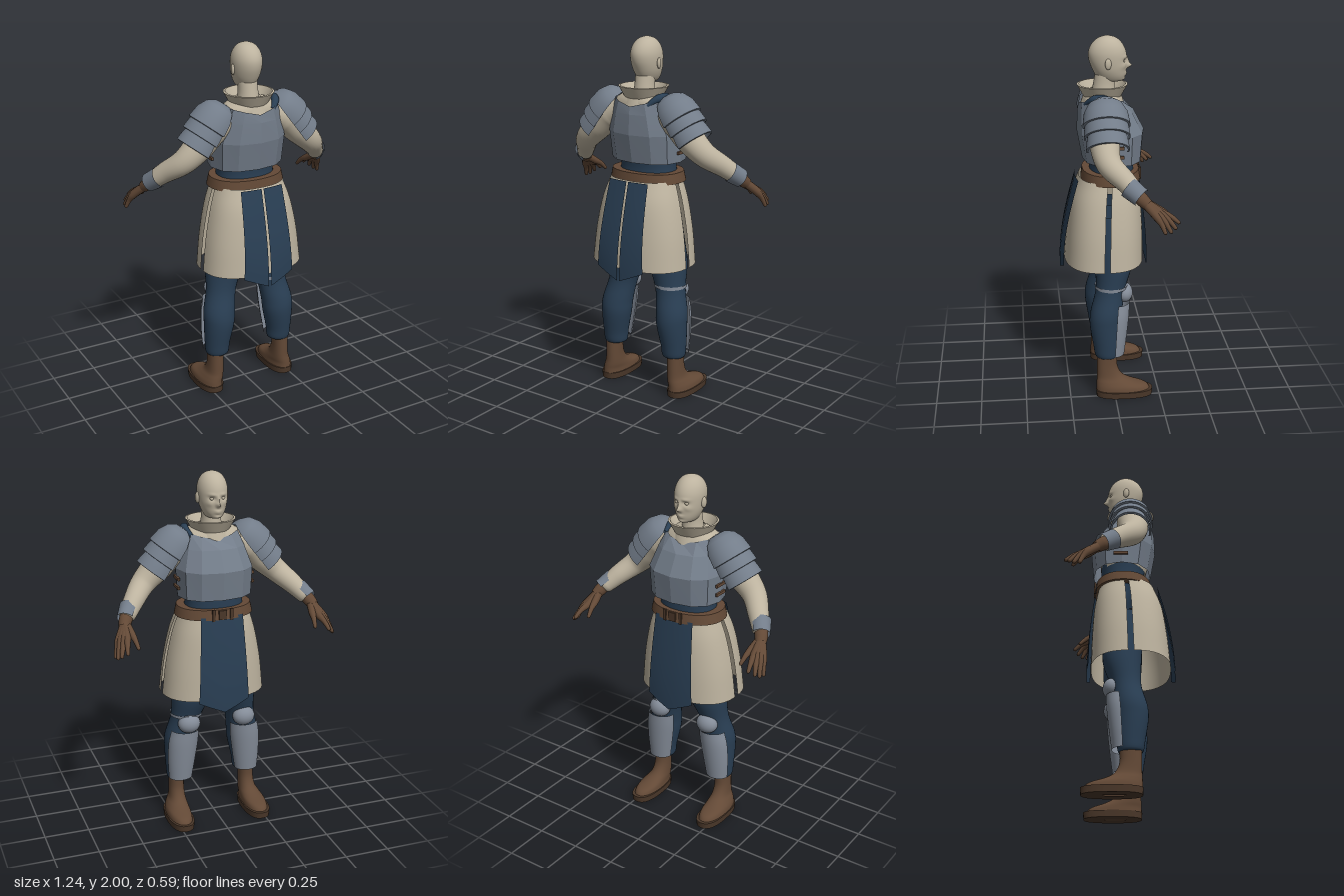
import * as THREE from 'three';
import { toCreasedNormals } from 'three/addons/utils/BufferGeometryUtils.js';
import { ParametricGeometry } from 'three/addons/geometries/ParametricGeometry.js';

const V = (x, y, z) => new THREE.Vector3(x, y, z);
const material = (name, color) => {
  const m = new THREE.MeshStandardMaterial({ color, side: THREE.DoubleSide });
  m.name = name;
  return m;
};

// Surface through rings listed top to bottom: [y, centreX, halfWidth, backZ, frontZ]
function loft(rings, { seg = 32, steps = 5, p = 1, from = 0, to = Math.PI * 2 } = {}) {
  const Kind = steps > 1 ? THREE.CubicInterpolant : THREE.LinearInterpolant;
  const last = rings.length - 1;
  const curve = new Kind(rings.map((_, i) => i), new Float32Array(rings.flat()), 5);
  const pow = (v) => Math.sign(v) * Math.abs(v) ** p;
  return new ParametricGeometry((u, v, target) => {
    const [y, cx, rx, zb, zf] = curve.evaluate(v * last);
    const a = from + (to - from) * u;
    target.set(cx + rx * pow(Math.cos(a)), y, (zb + zf) / 2 + ((zb - zf) / 2) * pow(Math.sin(a)));
  }, seg, last * steps);
}

// Tube of changing thickness through points [x, y, z, radius]
function limb(points, sides = 20) {
  const curve = new THREE.CatmullRomCurve3(points.map((q) => V(q[0], q[1], q[2])));
  const n = points.length * 6;
  const geo = new THREE.TubeGeometry(curve, n, 1, sides);
  const pos = geo.attributes.position;
  const v = V();
  for (let i = 0; i <= n; i++) {
    const t = curve.getUtoTmapping(i / n) * (points.length - 1);
    const k = Math.min(Math.floor(t), points.length - 2);
    const r = THREE.MathUtils.lerp(points[k][3], points[k + 1][3], t - k);
    const c = curve.getPointAt(i / n);
    for (let j = 0; j <= sides; j++) {
      const id = i * (sides + 1) + j;
      v.fromBufferAttribute(pos, id).sub(c).multiplyScalar(r).add(c);
      pos.setXYZ(id, v.x, v.y, v.z);
    }
  }
  return geo;
}

// Edges sharper than the crease angle stay hard
function crease(geo, angle) {
  geo.scale(100, 100, 100);
  const out = toCreasedNormals(geo, angle);
  out.deleteAttribute('uv');
  return out.scale(0.01, 0.01, 0.01);
}

function mirrored(geo) {
  const out = geo.clone().scale(-1, 1, 1);
  for (const { array } of Object.values(out.attributes)) {
    for (let i = 0; i < array.length; i += 9) {
      const second = array.slice(i + 3, i + 6);
      array.copyWithin(i + 3, i + 6, i + 9);
      array.set(second, i + 6);
    }
  }
  return out;
}

// Hanging cloth panel with a pointed lower hem
function panel(x0, x1, side, topZ, bottomZ) {
  const geo = new THREE.PlaneGeometry(1, 1, 10, 14);
  const pos = geo.attributes.position;
  for (let i = 0; i < pos.count; i++) {
    const v = 0.5 - pos.getY(i);
    const x = THREE.MathUtils.lerp(x0, x1, pos.getX(i) + 0.5) * (1 + 0.2 * v);
    const hem = 0.7 + 0.43 * Math.abs(x);
    const z = THREE.MathUtils.lerp(topZ, bottomZ, Math.sin(v * Math.PI / 2)) - 0.8 * x * x;
    pos.setXYZ(i, x, THREE.MathUtils.lerp(1.24, hem, v), side * z);
  }
  return geo;
}

export function createModel() {
  const model = new THREE.Group();
  model.name = 'armouredFigure';
  const cream = material('cream', 0xbdb39f);
  const blue = material('darkBlue', 0x293e53);
  const steel = material('steel', 0x737d8a);
  const paleSteel = material('paleSteel', 0x848c98);
  const leather = material('leather', 0x634936);
  const darkLeather = material('darkLeather', 0x4a3729);

  const add = (name, geo, mat, pair = false, angle = 0.9) => {
    const left = crease(geo, angle);
    for (const [g, suffix] of pair ? [[left, 'Left'], [mirrored(left), 'Right']] : [[left, '']]) {
      const mesh = new THREE.Mesh(g, mat);
      mesh.name = name + suffix;
      model.add(mesh);
    }
  };

  // Head: smooth skull with sculpted face
  const head = loft([[2, 0, 0.002, 0.022, 0.018], [1.985, 0, 0.042, 0.068, -0.028], [1.955, 0, 0.067, 0.102, -0.06],
    [1.915, 0, 0.079, 0.12, -0.079], [1.87, 0, 0.079, 0.118, -0.083], [1.82, 0, 0.071, 0.1, -0.08],
    [1.78, 0, 0.055, 0.078, -0.074], [1.758, 0, 0.036, 0.06, -0.058], [1.752, 0, 0.002, 0.01, 0]], { seg: 64, steps: 8 });
  const face = [[0, 1.836, 0.011, 0.013, 0.026], [0, 1.86, 0.008, 0.022, 0.012], [0.03, 1.868, 0.014, 0.01, -0.013],
    [0.03, 1.888, 0.02, 0.008, 0.005], [0, 1.8, 0.018, 0.006, 0.007], [0, 1.79, 0.016, 0.005, 0.006],
    [0, 1.766, 0.018, 0.01, 0.006], [0.045, 1.84, 0.016, 0.014, 0.005]];
  const hp = head.attributes.position;
  for (let i = 0; i < hp.count; i++) {
    if (hp.getZ(i) > -0.015) continue;
    let bump = 0;
    for (const [x, y, sx, sy, a] of face)
      bump += a * Math.exp(-(((Math.abs(hp.getX(i)) - x) / sx) ** 2) - (((hp.getY(i) - y) / sy) ** 2));
    hp.setZ(i, hp.getZ(i) - bump);
  }
  add('head', head, cream, false, 1.5);
  add('eye', new THREE.SphereGeometry(0.012, 14, 10).translate(0.03, 1.867, -0.06), cream, true);
  add('ear', new THREE.SphereGeometry(1, 16, 12).scale(0.01, 0.03, 0.018).rotateY(0.35).translate(0.081, 1.86, 0.022), cream, true);
  add('neck', loft([[1.8, 0, 0.052, 0.085, -0.02], [1.72, 0, 0.056, 0.1, -0.02], [1.62, 0, 0.08, 0.12, -0.04]]), cream);
  const collarProfile = [[0.118, 1.635], [0.103, 1.68], [0.136, 1.74], [0.125, 1.742], [0.09, 1.68], [0.09, 1.64]];
  add('collar', new THREE.LatheGeometry(collarProfile.map(([x, y]) => new THREE.Vector2(x, y)), 40).translate(0, 0, 0.047), cream, false, 0.5);

  // Torso and plate
  add('tunicTop', loft([[1.715, 0, 0.06, 0.11, -0.02], [1.69, 0, 0.125, 0.14, -0.04], [1.65, 0, 0.175, 0.155, -0.06],
    [1.57, 0, 0.19, 0.16, -0.09], [1.45, 0, 0.19, 0.15, -0.12], [1.35, 0, 0.175, 0.13, -0.12]]), cream);
  add('waist', loft([[1.4, 0, 0.165, 0.13, -0.12], [1.3, 0, 0.16, 0.12, -0.12], [1.22, 0, 0.17, 0.13, -0.12]], { p: 0.9 }), blue);
  const plate = loft([[1.66, 0, 0.15, 0.175, -0.065], [1.6, 0, 0.178, 0.183, -0.12], [1.49, 0, 0.213, 0.186, -0.177],
    [1.335, 0, 0.205, 0.158, -0.163]], { seg: 12, steps: 1, p: 0.85 });
  const pp = plate.attributes.position;
  for (let i = 0; i < pp.count; i++)
    if (pp.getY(i) > 1.65) pp.setY(i, 1.642 + 0.25 * Math.abs(pp.getX(i)));
  add('breastplate', plate, steel, false, 0.1);
  for (const y of [1.39, 1.44])
    add('sideStrap', new THREE.BoxGeometry(0.012, 0.016, 0.08).translate(0.211, y, -0.01), leather, true, 0.3);
  add('shoulderCloth', limb([[0.09, 1.65, 0.145, 0.012], [0.13, 1.685, 0.1, 0.022], [0.145, 1.69, 0.05, 0.022], [0.13, 1.665, -0.03, 0.01]]), blue);

  // Belt
  add('belt', loft([[1.28, 0, 0.16, 0.12, -0.11], [1.28, 0, 0.205, 0.16, -0.148], [1.225, 0, 0.217, 0.168, -0.157],
    [1.225, 0, 0.16, 0.12, -0.11]], { seg: 48, steps: 1, p: 0.9 }), leather, false, 0.5);
  add('beltLoop', new THREE.BoxGeometry(0.016, 0.064, 0.012).translate(0.05, 1.252, -0.152), darkLeather, true, 0.3);
  add('buckle', new THREE.BoxGeometry(0.045, 0.05, 0.01).translate(0, 1.252, -0.155), darkLeather, false, 0.3);

  // Skirt halves, open at both sides, under pointed cloth panels
  const skirt = [[1.24, 0, 0.195, 0.178, -0.135], [1.12, 0, 0.235, 0.222, -0.157], [0.95, 0, 0.27, 0.248, -0.168], [0.765, 0, 0.291, 0.264, -0.172]];
  const gap = 0.035;
  add('skirtBack', loft(skirt, { p: 0.8, from: gap, to: Math.PI - gap }), cream);
  add('skirtFront', loft(skirt, { p: 0.8, from: Math.PI + gap, to: Math.PI * 2 - gap }), cream);
  add('backPanel', panel(0.006, 0.125, 1, 0.2, 0.29), blue, true);
  add('frontPanel', panel(-0.12, 0.12, -1, 0.15, 0.197), blue);

  // Sleeves
  add('sleeve', limb([[0.13, 1.61, 0.05, 0.07], [0.22, 1.57, 0.055, 0.087], [0.3, 1.49, 0.06, 0.08],
    [0.385, 1.41, 0.045, 0.066], [0.46, 1.34, -0.03, 0.055], [0.515, 1.28, -0.09, 0.044], [0.527, 1.267, -0.103, 0.01]], 28), cream, true);

  // Overlapping shoulder plates
  const lames = [
    [[0.001, 0.1], [0.05, 0.095], [0.09, 0.068], [0.115, 0.02], [0.125, -0.05], [0.114, -0.053]],
    [[0.11, -0.02], [0.118, -0.08], [0.121, -0.115], [0.11, -0.117]],
    [[0.1, -0.09], [0.11, -0.15], [0.113, -0.185], [0.102, -0.187]],
  ];
  for (const profile of lames) {
    const points = profile.map(([x, y]) => new THREE.Vector2(x, y));
    add('shoulderPlate', new THREE.LatheGeometry(points.reverse(), 32, -0.25, Math.PI + 0.5)
      .rotateZ(0.66).translate(0.205, 1.61, 0.045), steel, true, 0.7);
  }

  // Wrist guard and glove
  const up = V(-0.45, 0.53, 0.72).normalize();
  add('wristGuard', new THREE.CylinderGeometry(0.056, 0.05, 0.085, 14, 1, true, -0.4, 3.9)
    .applyQuaternion(new THREE.Quaternion().setFromUnitVectors(V(0, 1, 0), up)).translate(0.503, 1.295, -0.075), steel, true, 0.3);
  add('gloveCuff', limb([[0.515, 1.28, -0.09, 0.036], [0.528, 1.262, -0.11, 0.035], [0.54, 1.24, -0.135, 0.03]]), leather, true);
  const fingers = [
    ['thumb', [0.513, 1.215, -0.18], [0.498, 1.155, -0.26]],
    ['indexFinger', [0.545, 1.2, -0.205], [0.566, 1.145, -0.295]],
    ['middleFinger', [0.562, 1.192, -0.205], [0.594, 1.125, -0.275]],
    ['ringFinger', [0.577, 1.187, -0.195], [0.608, 1.11, -0.25]],
    ['littleFinger', [0.586, 1.184, -0.18], [0.613, 1.107, -0.22]],
  ];
  for (const [name, k, t] of fingers) {
    const mid = k.map((v, i) => (v + t[i]) / 2 + (i === 1 ? 0.008 : 0));
    add(name, limb([[0.53, 1.257, -0.113, 0.024], [...k, 0.02], [...mid, 0.014], [...t, 0.009],
      [t[0], t[1] - 0.003, t[2] - 0.003, 0.001]], 12), leather, true);
  }

  // Legs
  add('trouserLeg', loft([[1.05, 0.1, 0.1, 0.11, -0.09], [0.9, 0.112, 0.11, 0.11, -0.1], [0.76, 0.127, 0.113, 0.102, -0.105],
    [0.62, 0.16, 0.086, 0.1, -0.062], [0.5, 0.185, 0.089, 0.13, -0.045], [0.42, 0.19, 0.086, 0.136, -0.038],
    [0.3, 0.2, 0.071, 0.118, -0.03], [0.235, 0.201, 0.063, 0.105, -0.022], [0.234, 0.205, 0.03, 0.07, 0]]), blue, true);
  add('kneeGuard', new THREE.SphereGeometry(1, 24, 16).scale(0.064, 0.056, 0.05).translate(0.163, 0.597, -0.055), paleSteel, true);
  add('shinGuard', loft([[0.55, 0.175, 0.08, 0.06, -0.087], [0.47, 0.185, 0.086, 0.07, -0.082], [0.36, 0.194, 0.08, 0.07, -0.07],
    [0.245, 0.2, 0.068, 0.065, -0.055]], { from: Math.PI + 0.05, to: Math.PI * 2 - 0.05 }), paleSteel, true);
  add('kneeStrap', loft([[0.648, 0.156, 0.094, 0.105, -0.078], [0.63, 0.158, 0.092, 0.105, -0.075]], { steps: 1 }), paleSteel);

  // Boots
  add('boot', loft([[0.245, 0.213, 0.042, 0.1, -0.015], [0.17, 0.214, 0.042, 0.1, -0.016], [0.115, 0.216, 0.046, 0.1, -0.045],
    [0.085, 0.222, 0.055, 0.102, -0.1], [0.06, 0.228, 0.063, 0.103, -0.175], [0.03, 0.23, 0.067, 0.104, -0.2]], { p: 0.9 }), leather, true);
  add('sole', loft([[0.036, 0.23, 0.01, 0.02, -0.1], [0.036, 0.23, 0.072, 0.106, -0.213], [0, 0.23, 0.07, 0.104, -0.21],
    [0, 0.23, 0.01, 0.02, -0.1]], { steps: 1, p: 0.8 }), darkLeather, true, 0.5);

  return model;
}
